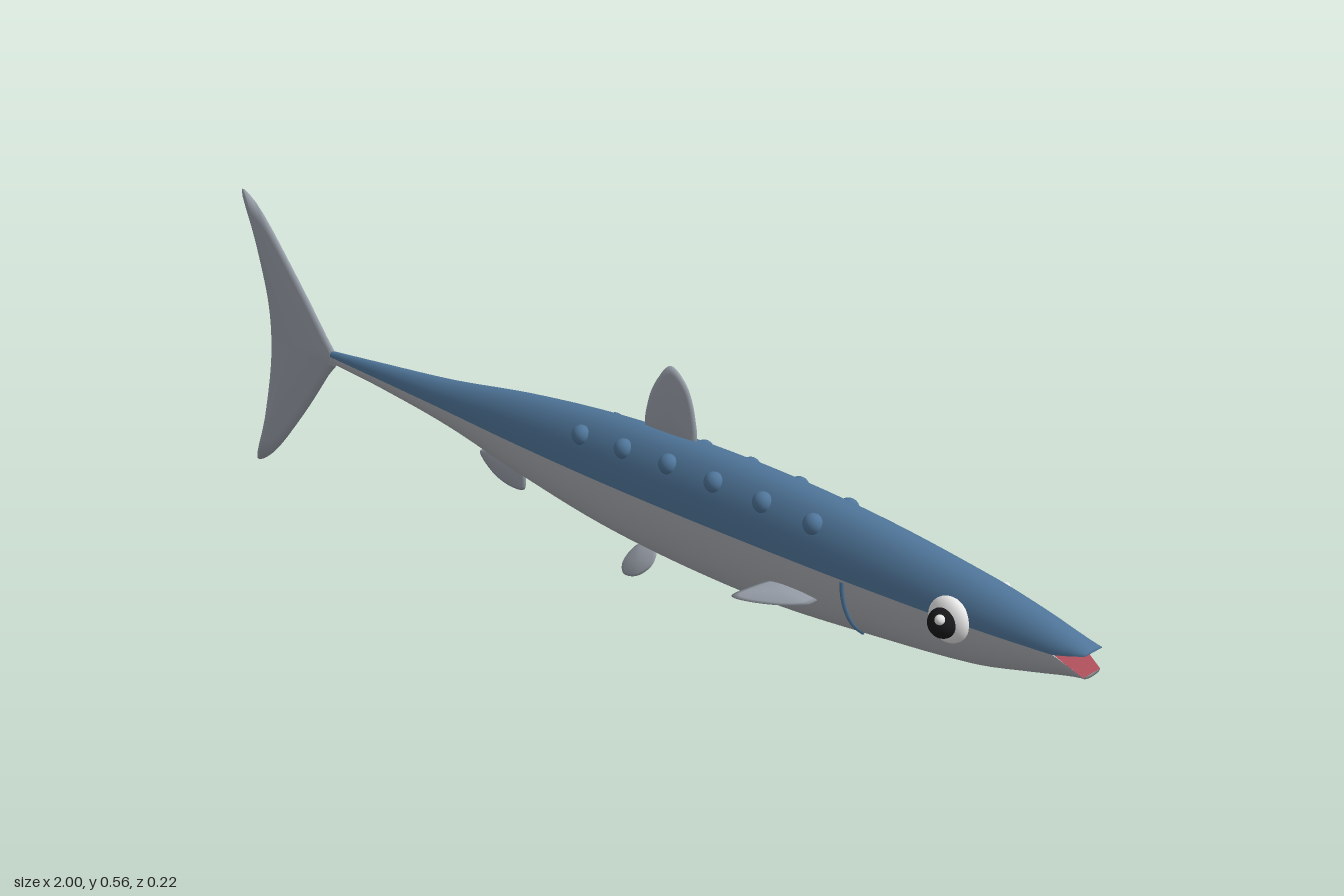
import * as THREE from 'three';
import { mergeVertices } from 'three/addons/utils/BufferGeometryUtils.js';

const mat = (name, color, side = THREE.FrontSide) => {
  const m = new THREE.MeshStandardMaterial({ color, side });
  m.name = name;
  return m;
};

// Body stations: x, bottom, top, half width
const STATIONS = [
  [-0.74, 0.278, 0.303, 0.007], [-0.6, 0.27, 0.317, 0.016], [-0.4, 0.25, 0.338, 0.03],
  [-0.2, 0.215, 0.368, 0.046], [0, 0.186, 0.389, 0.057], [0.2, 0.173, 0.398, 0.062],
  [0.4, 0.173, 0.396, 0.062], [0.6, 0.19, 0.382, 0.058], [0.8, 0.213, 0.356, 0.048],
  [0.9, 0.237, 0.337, 0.038], [0.96, 0.253, 0.322, 0.03], [1, 0.264, 0.31, 0.021],
];
const SPLIT = 0.293;
const MOUTH = 0.955;

// Smooth interpolation of the stations: [bottom, top, half width]
function section(x) {
  const S = STATIONS, n = S.length;
  let i = 0;
  while (i < n - 2 && x > S[i + 1][0]) i++;
  const h = S[i + 1][0] - S[i][0], t = (x - S[i][0]) / h;
  const slope = (k, c) => {
    const a = S[Math.max(k - 1, 0)], b = S[Math.min(k + 1, n - 1)];
    return (b[c] - a[c]) / (b[0] - a[0]);
  };
  return [1, 2, 3].map((c) =>
    (2 * t ** 3 - 3 * t * t + 1) * S[i][c] + (t ** 3 - 2 * t * t + t) * h * slope(i, c) +
    (3 * t * t - 2 * t ** 3) * S[i + 1][c] + (t ** 3 - t * t) * h * slope(i + 1, c));
}

// Jaw line: straight along the body, opening at the mouth
const jawY = (x, dir) => {
  const open = Math.max(0, (x - MOUTH) / (1 - MOUTH));
  return SPLIT + open * (dir > 0 ? 0.011 : -0.023);
};

// Side surface depth at a point of the flank
function flankZ(x, y) {
  const [bottom, top, w] = section(x);
  const k = (y - SPLIT) / (y > SPLIT ? top - SPLIT : SPLIT - bottom);
  return w * Math.sqrt(Math.max(0, 1 - k * k));
}

// Smooth surface from a rule giving the point at row i, column j
function grid(rows, cols, point) {
  const pos = [], idx = [];
  for (let i = 0; i <= rows; i++)
    for (let j = 0; j <= cols; j++) pos.push(...point(i, j));
  for (let i = 0; i < rows; i++)
    for (let j = 0; j < cols; j++) {
      const a = i * (cols + 1) + j, b = a + cols + 1;
      idx.push(a, b, b + 1, a, b + 1, a + 1);
    }
  let g = new THREE.BufferGeometry();
  g.setAttribute('position', new THREE.Float32BufferAttribute(pos, 3));
  g.setIndex(idx);
  g = mergeVertices(g, 1e-5);
  g.computeVertexNormals();
  return g;
}

// Upper (dir 1) or lower (dir -1) half of the body, closed at the snout
function bodyHalf(dir) {
  const rows = 72;
  return grid(rows + 1, 24, (i, j) => {
    const x = -0.74 + 1.74 * Math.min(i / rows, 1);
    const [bottom, top, w] = section(x);
    const y0 = jawY(x, dir), a = (j / 24) * Math.PI + (dir > 0 ? 0 : Math.PI);
    if (i > rows) return [x, y0, 0];
    const h = dir > 0 ? top - y0 : y0 - bottom;
    return [x, y0 + h * Math.sin(a), w * Math.cos(a)];
  });
}

// Lens-shaped fin from a counter-clockwise outline, thickest at its centre
function finGeometry(outline, centre, thick) {
  const curve = new THREE.CatmullRomCurve3(
    outline.map(([x, y]) => new THREE.Vector3(x, y, 0)), true);
  const n = 56, K = 6;
  const rim = Array.from({ length: n + 1 }, (_, j) => curve.getPoint((j % n) / n));
  return grid(2 * K, n, (i, j) => {
    const s = 1 - i / K, r = 1 - Math.abs(s);
    return [centre[0] + (rim[j].x - centre[0]) * r, centre[1] + (rim[j].y - centre[1]) * r,
      thick * s * (2 - Math.abs(s))];
  });
}

export function createModel() {
  const blue = mat('back blue', 0x4f7599);
  const silver = mat('belly silver', 0xa9abb0);
  const finGrey = mat('fin grey', 0x9ba2ac);
  const white = mat('eye white', 0xf0f0f0);
  const black = mat('pupil black', 0x18181a);
  const red = mat('mouth red', 0xa84c58, THREE.DoubleSide);

  const fish = new THREE.Group();
  fish.name = 'fish';
  const add = (name, geometry, material, parent = fish) => {
    const m = new THREE.Mesh(geometry, material);
    m.name = name;
    parent.add(m);
    return m;
  };

  // Body and mouth lining
  add('back', bodyHalf(1), blue);
  add('belly', bodyHalf(-1), silver);
  for (const dir of [1, -1])
    add(dir > 0 ? 'mouthRoof' : 'mouthFloor', grid(4, 1, (i, j) => {
      const x = MOUTH + (1 - MOUTH) * i / 4;
      return [x, jawY(x, dir), section(x)[2] * (j ? -1 : 1)];
    }), red);

  // Fins on the centre line
  add('tailFin', finGeometry([
    [-0.725, 0.288], [-0.755, 0.328], [-0.85, 0.44], [-0.955, 0.548], [-0.998, 0.566],
    [-0.965, 0.47], [-0.935, 0.36], [-0.93, 0.29], [-0.937, 0.22], [-0.967, 0.1],
    [-0.998, 0.006], [-0.95, 0.03], [-0.84, 0.145], [-0.755, 0.25],
  ], [-0.85, 0.29], 0.01), finGrey);
  add('dorsalFin', finGeometry([
    [0.095, 0.39], [0.205, 0.39], [0.205, 0.44], [0.185, 0.49], [0.15, 0.514],
    [0.12, 0.485], [0.098, 0.44],
  ], [0.15, 0.43], 0.007), finGrey);
  add('analFin', finGeometry([
    [-0.325, 0.222], [-0.29, 0.19], [-0.24, 0.178], [-0.207, 0.185], [-0.21, 0.225],
    [-0.26, 0.24],
  ], [-0.25, 0.21], 0.007), finGrey);

  // Paired details, built on +z and mirrored
  const pectoral = finGeometry([
    [0.44, -0.01], [0.52, -0.01], [0.518, 0.015], [0.45, 0.05], [0.39, 0.06], [0.4, 0.035],
  ], [0.46, 0.02], 0.006);
  const pelvic = finGeometry([
    [0.1, -0.01], [0.14, -0.01], [0.143, 0.015], [0.12, 0.042], [0.09, 0.047], [0.08, 0.03],
  ], [0.113, 0.018], 0.006);
  const ball = new THREE.SphereGeometry(1, 28, 18);
  const gillCurve = new THREE.CatmullRomCurve3([0, 1, 2, 3, 4, 5, 6].map((i) => {
    const y = 0.291 - 0.016 * i;
    const x = 0.576 + 0.014 * (i / 6) ** 2;
    return new THREE.Vector3(x, y, flankZ(x, y));
  }));
  const gill = new THREE.TubeGeometry(gillCurve, 24, 0.004, 8);

  for (const sign of [1, -1]) {
    const side = new THREE.Group();
    side.name = sign > 0 ? 'frontFlank' : 'backFlank';
    side.scale.z = sign;
    fish.add(side);
    const blob = (name, material, p, s) => {
      const m = add(name, ball, material, side);
      m.position.set(...p);
      m.scale.set(...s);
    };
    blob('eyeWhite', white, [0.775, 0.293, 0.047], [0.037, 0.037, 0.02]);
    blob('pupil', black, [0.775, 0.293, 0.063], [0.024, 0.024, 0.021]);
    blob('eyeGlint', white, [0.782, 0.306, 0.079], [0.008, 0.008, 0.008]);

    [-0.02, 0.083, 0.187, 0.29, 0.395, 0.5].forEach((x, i) => {
      const y = [0.354, 0.36, 0.364, 0.364, 0.362, 0.358][i];
      blob('backSpot', blue, [x, y, flankZ(x, y) - 0.003], [0.018, 0.018, 0.016]);
    });
    add('gillLine', gill, blue, side);

    const pec = add('pectoralFin', pectoral, finGrey, side);
    pec.position.set(0, 0.24, 0.05);
    pec.rotation.x = 1.94;
    const pel = add('pelvicFin', pelvic, finGrey, side);
    pel.position.set(0, 0.178, 0.026);
    pel.rotation.x = 2.62;
  }
  return fish;
}
